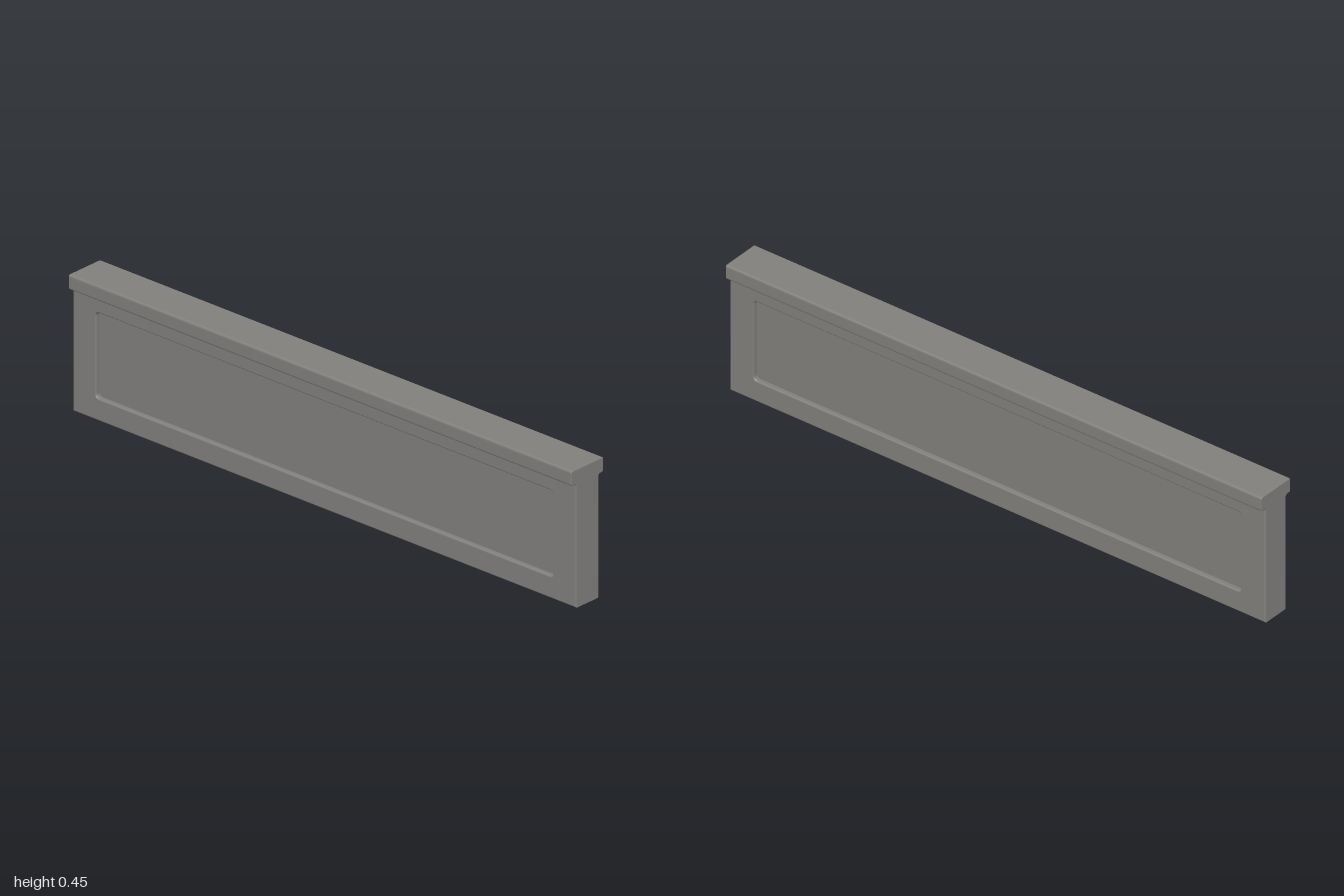
import * as THREE from 'three';

const material = new THREE.MeshStandardMaterial({ color: 0x82807d });

function addMesh(group, name, geometry) {
  const mesh = new THREE.Mesh(geometry, material);
  mesh.name = name;
  group.add(mesh);
  return mesh;
}

// Rounded rectangle outline for the window
function roundedRect(x0, y0, x1, y1, r) {
  const path = new THREE.Path();
  path.moveTo(x0 + r, y0);
  path.lineTo(x1 - r, y0);
  path.quadraticCurveTo(x1, y0, x1, y0 + r);
  path.lineTo(x1, y1 - r);
  path.quadraticCurveTo(x1, y1, x1 - r, y1);
  path.lineTo(x0 + r, y1);
  path.quadraticCurveTo(x0, y1, x0, y1 - r);
  path.lineTo(x0, y0 + r);
  path.quadraticCurveTo(x0, y0, x0 + r, y0);
  return path;
}

// Extrusion centred on z = 0 whose end edges are rounded without growing the outline
function softExtrude(shape, depth, bevel) {
  const geometry = new THREE.ExtrudeGeometry(shape, {
    depth: depth - 2 * bevel, bevelEnabled: true, bevelThickness: bevel,
    bevelSize: bevel, bevelOffset: -bevel, bevelSegments: 4, curveSegments: 5,
  });
  return geometry.translate(0, 0, -depth / 2 + bevel);
}

// Wall slab with a window that leaves a recess on each face
function frameGeometry() {
  const shape = new THREE.Shape();
  shape.moveTo(-1, 0);
  shape.lineTo(1, 0);
  shape.lineTo(1, 0.41);
  shape.lineTo(-1, 0.41);
  shape.closePath();
  shape.holes.push(roundedRect(-0.91, 0.072, 0.91, 0.35, 0.014));
  return softExtrude(shape, 0.1, 0.005);
}

// Coping profile: rounded corners and a small cove where it meets the wall
function copingGeometry() {
  const w = 0.07, neck = 0.05, top = 0.45, under = 0.401, r = 0.008, c = 0.006;
  const shape = new THREE.Shape();
  shape.moveTo(-neck, under - c);
  shape.lineTo(neck, under - c);
  shape.quadraticCurveTo(neck, under, neck + c, under);
  shape.lineTo(w - r, under);
  shape.quadraticCurveTo(w, under, w, under + r);
  shape.lineTo(w, top - r);
  shape.quadraticCurveTo(w, top, w - r, top);
  shape.lineTo(-w + r, top);
  shape.quadraticCurveTo(-w, top, -w, top - r);
  shape.lineTo(-w, under + r);
  shape.quadraticCurveTo(-w, under, -w + r, under);
  shape.lineTo(-neck - c, under);
  shape.quadraticCurveTo(-neck, under, -neck, under - c);
  return softExtrude(shape, 2, 0.003).rotateY(Math.PI / 2);
}

export function createModel() {
  const group = new THREE.Group();
  group.name = 'parapetWall';

  addMesh(group, 'wallFrame', frameGeometry());
  addMesh(group, 'coping', copingGeometry());

  // Sunken panel seen from both faces
  const panel = addMesh(group, 'recessedPanel', new THREE.BoxGeometry(1.85, 0.31, 0.068));
  panel.position.y = 0.2125;

  return group;
}
